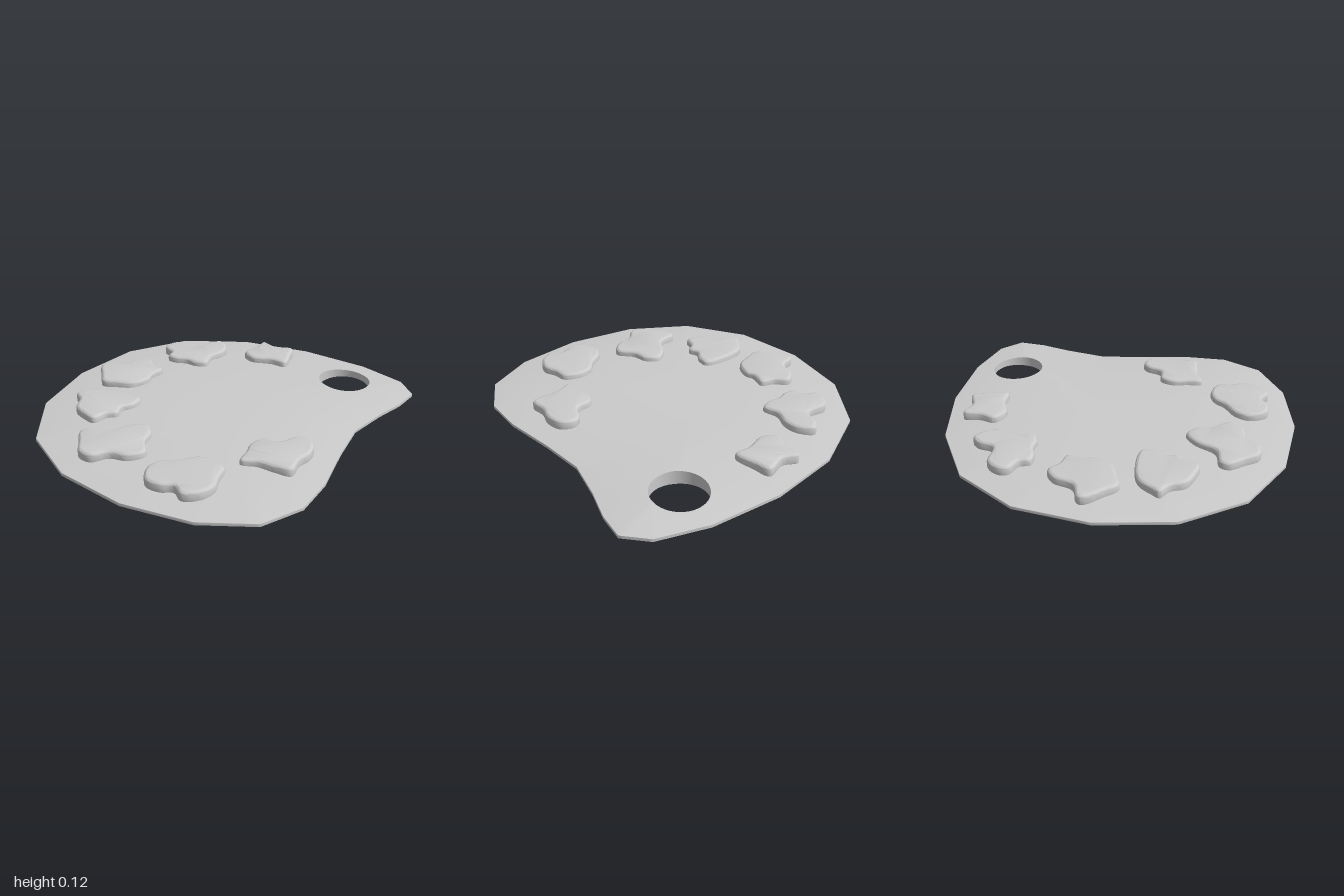
import * as THREE from 'three';
import { toCreasedNormals } from 'three/addons/utils/BufferGeometryUtils.js';

const MID = 0.045; // height of the board's thin edge

// Board outline as x, z corners, clockwise seen from above
const OUTLINE = toPoints([
  0.135, -1, 0.535, -0.98, 0.81, -0.9, 0.92, -0.785, 0.9, -0.63, 0.845, -0.45, 0.795, -0.22,
  0.82, 0.04, 0.865, 0.335, 0.86, 0.57, 0.745, 0.79, 0.475, 0.935, 0.095, 0.99, -0.305, 0.93,
  -0.64, 0.74, -0.855, 0.41, -0.92, 0, -0.85, -0.41, -0.63, -0.735, -0.27, -0.93,
]);
const HOLE = new THREE.Vector2(0.52, -0.71);
const HOLE_RADIUS = 0.15;

function toPoints(flat) {
  const points = [];
  for (let i = 0; i < flat.length; i += 2) points.push(new THREE.Vector2(flat[i], flat[i + 1]));
  return points;
}

// Distance from a point to the board's outline
function edgeDistance(p) {
  let best = Infinity;
  OUTLINE.forEach((a, i) => {
    const ab = OUTLINE[(i + 1) % OUTLINE.length].clone().sub(a);
    const t = THREE.MathUtils.clamp(p.clone().sub(a).dot(ab) / ab.lengthSq(), 0, 1);
    best = Math.min(best, p.distanceTo(a.clone().addScaledVector(ab, t)));
  });
  return best;
}

// Half the board's thickness: thin at the edge, swelling to the middle
function halfThickness(p) {
  const d = Math.min(edgeDistance(p) / 0.9, 1);
  return 0.008 + 0.037 * (1 - Math.pow(1 - d, 3));
}

// Smooth surface through closed rings of equal point count
function loft(rings) {
  const n = rings[0].length;
  const index = [];
  for (let j = 0; j < rings.length - 1; j++) {
    for (let i = 0; i < n; i++) {
      const a = j * n + i, c = j * n + (i + 1) % n;
      index.push(a, a + n, c, c, a + n, c + n);
    }
  }
  const geometry = new THREE.BufferGeometry().setFromPoints(rings.flat());
  geometry.setIndex(index);
  geometry.computeVertexNormals();
  return geometry;
}

// Domed board, lofted from the thumb hole's rim out to the edge and back
function makeBoard(material) {
  const group = new THREE.Group();
  group.name = 'board';

  const outer = [];
  OUTLINE.forEach((a, i) => {
    const b = OUTLINE[(i + 1) % OUTLINE.length];
    for (let k = 0; k < 8; k++) outer.push(a.clone().lerp(b, k / 8));
  });
  const rim = outer.map((p) => p.clone().sub(HOLE).setLength(HOLE_RADIUS).add(HOLE));

  const steps = 24;
  const top = [], bottom = [];
  for (let s = 0; s <= steps; s++) {
    const t = (s / steps) ** 2;
    const flat = outer.map((p, i) => p.clone().lerp(rim[i], t));
    const half = flat.map(halfThickness);
    top.push(flat.map((p, i) => new THREE.Vector3(p.x, MID + half[i], p.y)));
    bottom.unshift(flat.map((p, i) => new THREE.Vector3(p.x, MID - half[i], p.y)));
  }

  const body = new THREE.Mesh(loft([...bottom, ...top]), material);
  body.name = 'boardBody';
  const wall = new THREE.Mesh(loft([top[steps], bottom[0]]), material);
  wall.name = 'thumbHoleWall';
  group.add(body, wall);
  return group;
}

// Daub of paint: a wavy closed outline with a softly rounded top edge
function makeDaub(name, flat, material) {
  const loop = toPoints(flat).map((p) => new THREE.Vector3(p.x, -p.y, 0));
  const curve = new THREE.CatmullRomCurve3(loop, true);
  const outline = curve.getPoints(72).slice(0, -1).map((p) => new THREE.Vector2(p.x, p.y));
  const geometry = new THREE.ExtrudeGeometry(new THREE.Shape(outline), {
    depth: 0.03, bevelEnabled: true, bevelThickness: 0.02, bevelSize: 0.02,
    bevelOffset: -0.02, bevelSegments: 5,
  });
  geometry.rotateX(-Math.PI / 2);
  geometry.translate(0, 0.07, 0);
  const mesh = new THREE.Mesh(toCreasedNormals(geometry, 0.8), material);
  mesh.name = name;
  return mesh;
}

export function createModel() {
  const model = new THREE.Group();
  model.name = 'paintPalette';
  const material = new THREE.MeshStandardMaterial({ color: 0xcccccc });
  model.add(makeBoard(material));

  // Paint daubs around the rim, as x, z points
  const daub = (name, flat) => model.add(makeDaub(name, flat, material));
  daub('paintDaubBack', [
    -0.11, -0.87, -0.02, -0.845, 0.09, -0.875, 0.12, -0.79, 0.14, -0.67, 0.045, -0.665,
    -0.07, -0.63, -0.145, -0.68, -0.12, -0.77,
  ]);
  daub('paintDaubBackRight', [
    -0.35, -0.74, -0.28, -0.68, -0.265, -0.6, -0.295, -0.51, -0.275, -0.42, -0.34, -0.39,
    -0.405, -0.395, -0.475, -0.375, -0.53, -0.385, -0.545, -0.44, -0.615, -0.48,
    -0.62, -0.535, -0.565, -0.605, -0.435, -0.61, -0.4, -0.7,
  ]);
  daub('paintDaubRight', [
    -0.595, -0.28, -0.53, -0.23, -0.455, -0.205, -0.47, -0.115, -0.455, -0.065, -0.5, 0.04,
    -0.595, 0.08, -0.675, 0.1, -0.735, 0.035, -0.805, -0.06, -0.795, -0.095,
    -0.705, -0.13, -0.66, -0.24,
  ]);
  daub('paintDaubFrontRight', [
    -0.475, 0.155, -0.35, 0.175, -0.35, 0.25, -0.385, 0.31, -0.37, 0.37, -0.415, 0.41,
    -0.445, 0.485, -0.53, 0.47, -0.61, 0.43, -0.65, 0.35, -0.705, 0.305,
    -0.685, 0.265, -0.62, 0.185,
  ]);
  daub('paintDaubFront', [
    -0.155, 0.395, -0.09, 0.445, -0.07, 0.53, -0.005, 0.625, -0.065, 0.7, -0.16, 0.725,
    -0.225, 0.795, -0.305, 0.79, -0.36, 0.72, -0.42, 0.635, -0.405, 0.585,
    -0.3, 0.56, -0.23, 0.445,
  ]);
  daub('paintDaubFrontLeft', [
    0.32, 0.505, 0.415, 0.545, 0.43, 0.625, 0.455, 0.705, 0.425, 0.79, 0.345, 0.84,
    0.285, 0.805, 0.22, 0.835, 0.135, 0.83, 0.08, 0.735, 0.105, 0.655,
    0.19, 0.59, 0.24, 0.53,
  ]);
  daub('paintDaubLeft', [
    0.625, 0.075, 0.695, 0.11, 0.72, 0.205, 0.7, 0.29, 0.705, 0.39, 0.615, 0.41,
    0.53, 0.415, 0.445, 0.445, 0.43, 0.355, 0.415, 0.275, 0.45, 0.2,
    0.535, 0.185, 0.58, 0.1,
  ]);
  return model;
}
